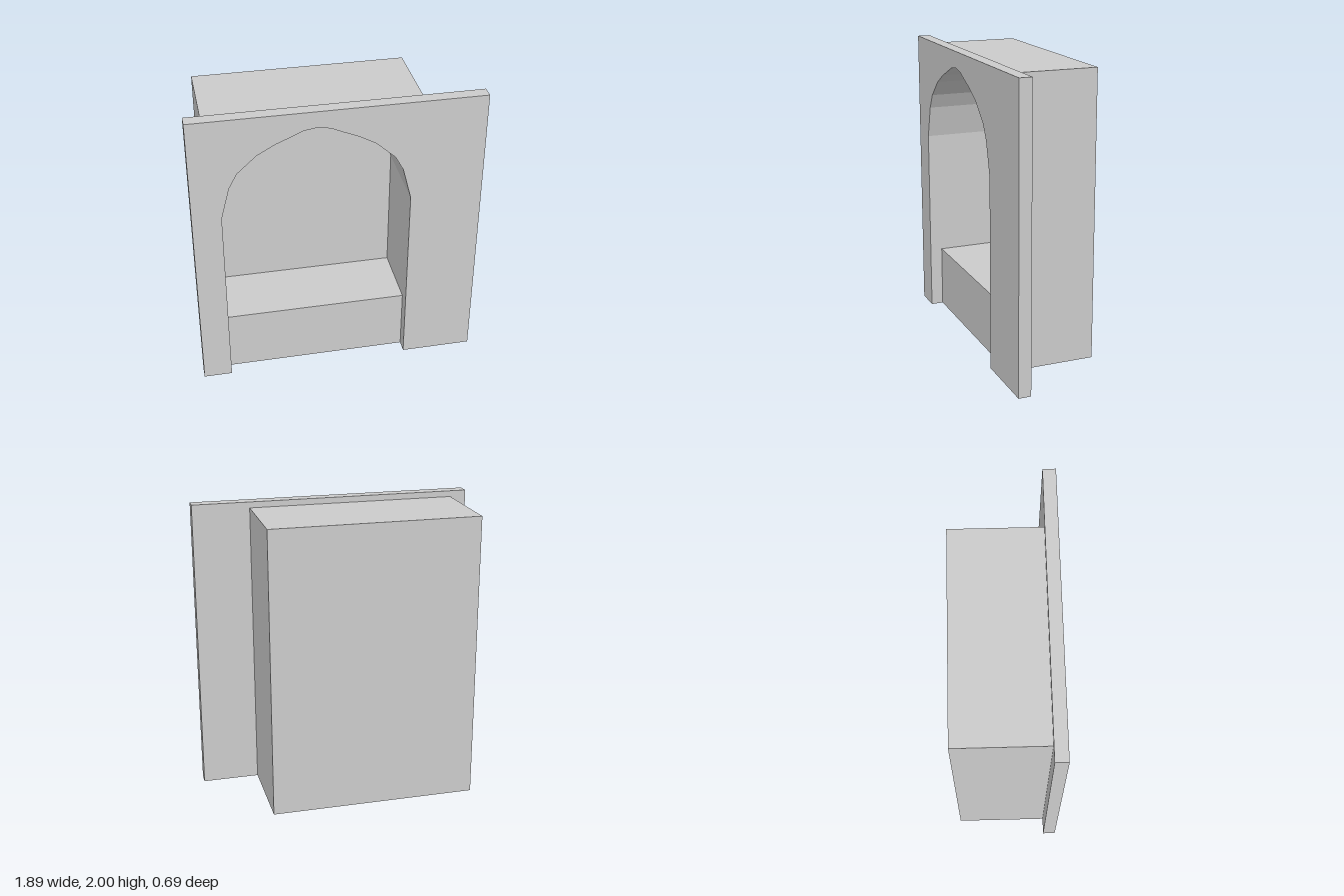
import * as THREE from 'three';

const material = new THREE.MeshStandardMaterial({ color: 0xcccccc });

// Depth levels, back to front
const Z_BACK = -0.345, Z_NICHE = -0.19, Z_PANEL = 0.26, Z_FRONT = 0.345;

// Arched opening: half profile around its centre line, from springing to crown
const ARCH_X = -0.143, ARCH_HALF = 0.613;
const HALF_ARCH = [
  [ARCH_HALF, 1.3], [0.556, 1.52], [0.502, 1.62], [0.376, 1.735],
  [0.26, 1.8], [0.165, 1.84], [0.086, 1.876], [0, 1.89],
];

// A wall standing on the ground with the arch cut out of its lower edge
function archedWall(name, left, right, height, z0, z1) {
  const arch = [
    ...HALF_ARCH.map(([x, y]) => [ARCH_X - x, y]),
    ...HALF_ARCH.slice(0, -1).reverse().map(([x, y]) => [ARCH_X + x, y]),
  ];
  const outline = [
    [left, 0], [ARCH_X - ARCH_HALF, 0], ...arch, [ARCH_X + ARCH_HALF, 0],
    [right, 0], [right, height], [left, height],
  ].map(([x, y]) => new THREE.Vector2(x, y));
  const geometry = new THREE.ExtrudeGeometry(new THREE.Shape(outline), {
    depth: z1 - z0, bevelEnabled: false,
  });
  geometry.translate(0, 0, z0);
  const mesh = new THREE.Mesh(geometry, material);
  mesh.name = name;
  return mesh;
}

// A box given by its limits, standing on the ground
function block(name, left, right, height, z0, z1) {
  const mesh = new THREE.Mesh(new THREE.BoxGeometry(right - left, height, z1 - z0), material);
  mesh.position.set((left + right) / 2, height / 2, (z0 + z1) / 2);
  mesh.name = name;
  return mesh;
}

export function createModel() {
  const group = new THREE.Group();
  group.name = 'archedAlcove';
  group.add(
    archedWall('frontPanel', -0.946, 0.946, 2, Z_PANEL, Z_FRONT),
    archedWall('alcoveHousing', -0.837, 0.563, 1.96, Z_NICHE, Z_PANEL),
    block('backWall', -0.837, 0.563, 1.96, Z_BACK, Z_NICHE),
    block('bench', ARCH_X - ARCH_HALF, ARCH_X + ARCH_HALF, 0.43, Z_NICHE, Z_PANEL),
  );
  return group;
}
